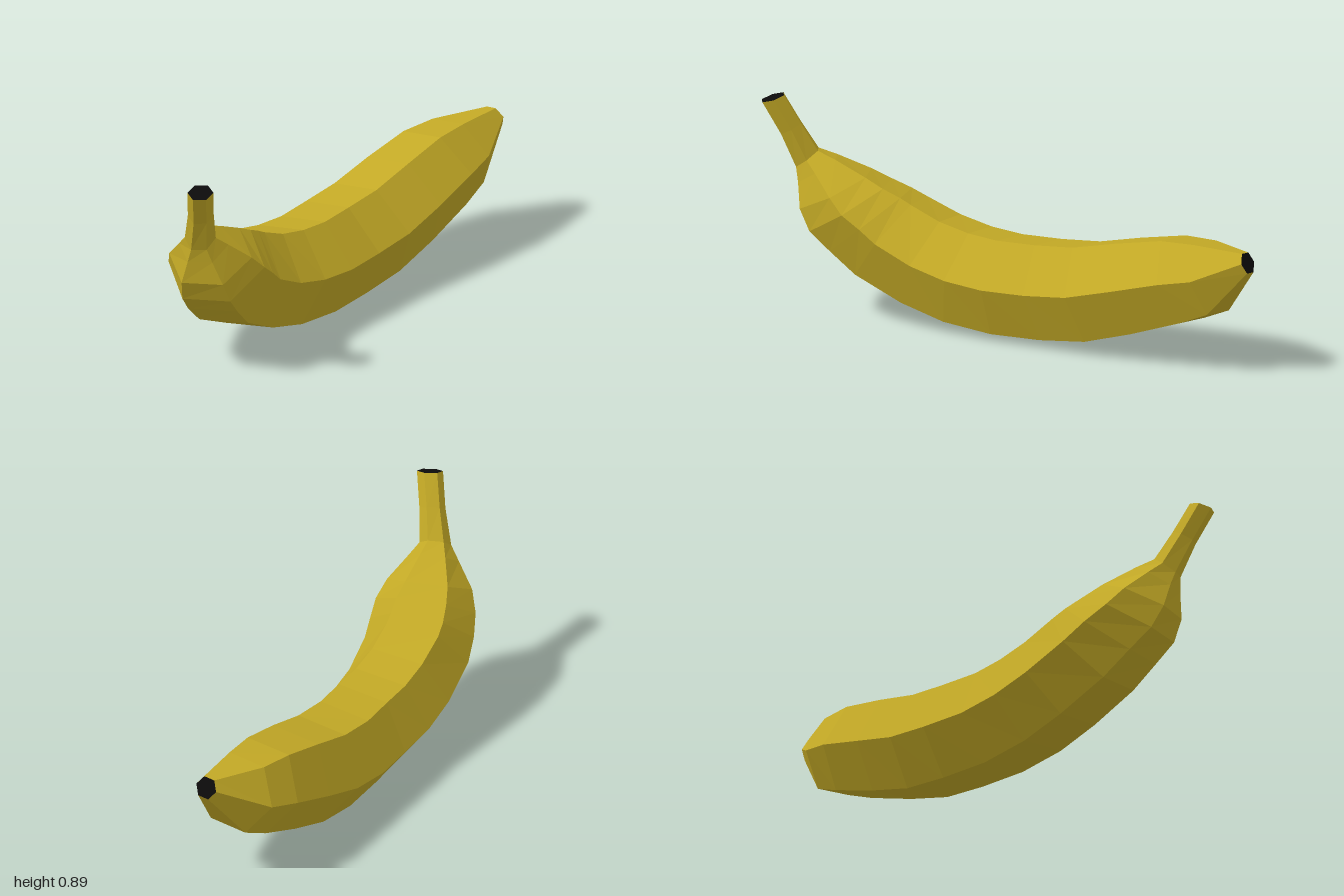
import * as THREE from 'three';

const SIDES = 6;
const ROLL = 8; // degrees the six-sided section is turned

// Cross-sections from the blossom end to the stem: x, y, z, radius, pitch, yaw (degrees)
const bodyRings = [
  [0.44, 0.47, -0.972, 0.046, -22, 25],
  [0.33, 0.373, -0.82, 0.16, -17, 25],
  [0.265, 0.343, -0.70, 0.19, -19, 24],
  [0.172, 0.283, -0.51, 0.207, -15, 24],
  [0.082, 0.228, -0.33, 0.214, -13, 24],
  [0.0, 0.207, -0.16, 0.215, -8, 24],
  [-0.07, 0.203, 0.02, 0.214, 0, 23],
  [-0.145, 0.217, 0.18, 0.214, 13, 22],
  [-0.21, 0.257, 0.33, 0.212, 23, 21],
  [-0.265, 0.33, 0.49, 0.212, 36, 17],
  [-0.28, 0.388, 0.57, 0.208, 50, 14],
  [-0.288, 0.443, 0.65, 0.198, 57, 12],
  [-0.298, 0.505, 0.71, 0.168, 62, 10],
  [-0.308, 0.582, 0.78, 0.1, 56, 8],
  [-0.312, 0.625, 0.822, 0.062, 52, 4],
];
const stemRings = [
  bodyRings[bodyRings.length - 1],
  [-0.295, 0.75, 0.885, 0.051, 62, 0],
  [-0.28, 0.875, 0.954, 0.051, 72, 0],
];

function ringPoints([x, y, z, r, pitch, yaw]) {
  const p = THREE.MathUtils.degToRad(pitch);
  const w = THREE.MathUtils.degToRad(yaw);
  const side = new THREE.Vector3(Math.cos(w), 0, Math.sin(w));
  const along = new THREE.Vector3(-Math.sin(w) * Math.cos(p), Math.sin(p), Math.cos(w) * Math.cos(p));
  const up = along.clone().cross(side);
  return Array.from({ length: SIDES }, (_, i) => {
    const a = THREE.MathUtils.degToRad(ROLL + (i * 360) / SIDES);
    return new THREE.Vector3(x, y, z)
      .addScaledVector(side, r * Math.cos(a))
      .addScaledVector(up, r * Math.sin(a));
  });
}

function fromTriangles(points) {
  const g = new THREE.BufferGeometry().setFromPoints(points);
  g.computeVertexNormals();
  return g;
}

// Skin between successive cross-sections
function loft(rings) {
  const rows = rings.map(ringPoints);
  const tris = [];
  for (let i = 0; i < rows.length - 1; i++) {
    for (let j = 0; j < SIDES; j++) {
      const k = (j + 1) % SIDES;
      const a = rows[i][j], b = rows[i][k], c = rows[i + 1][k], d = rows[i + 1][j];
      tris.push(a, b, c, a, c, d);
    }
  }
  return fromTriangles(tris);
}

// Flat end closing a cross-section
function cap(ring, reversed) {
  const pts = ringPoints(ring);
  if (reversed) pts.reverse();
  const tris = [];
  for (let j = 1; j < SIDES - 1; j++) tris.push(pts[0], pts[j], pts[j + 1]);
  return fromTriangles(tris);
}

export function createModel() {
  const peel = new THREE.MeshStandardMaterial({ color: 0xc4aa26 });
  peel.name = 'yellow peel';
  peel.flatShading = true;
  const dark = new THREE.MeshStandardMaterial({ color: 0x0c0b0b });
  dark.name = 'black ends';

  const group = new THREE.Group();
  group.name = 'banana';
  const add = (name, geometry, material) => {
    const mesh = new THREE.Mesh(geometry, material);
    mesh.name = name;
    group.add(mesh);
  };

  add('body', loft(bodyRings), peel);
  add('stem', loft(stemRings), peel);
  add('blossomEnd', cap(bodyRings[0], true), dark);
  add('stemEnd', cap(stemRings[stemRings.length - 1], false), dark);
  return group;
}
